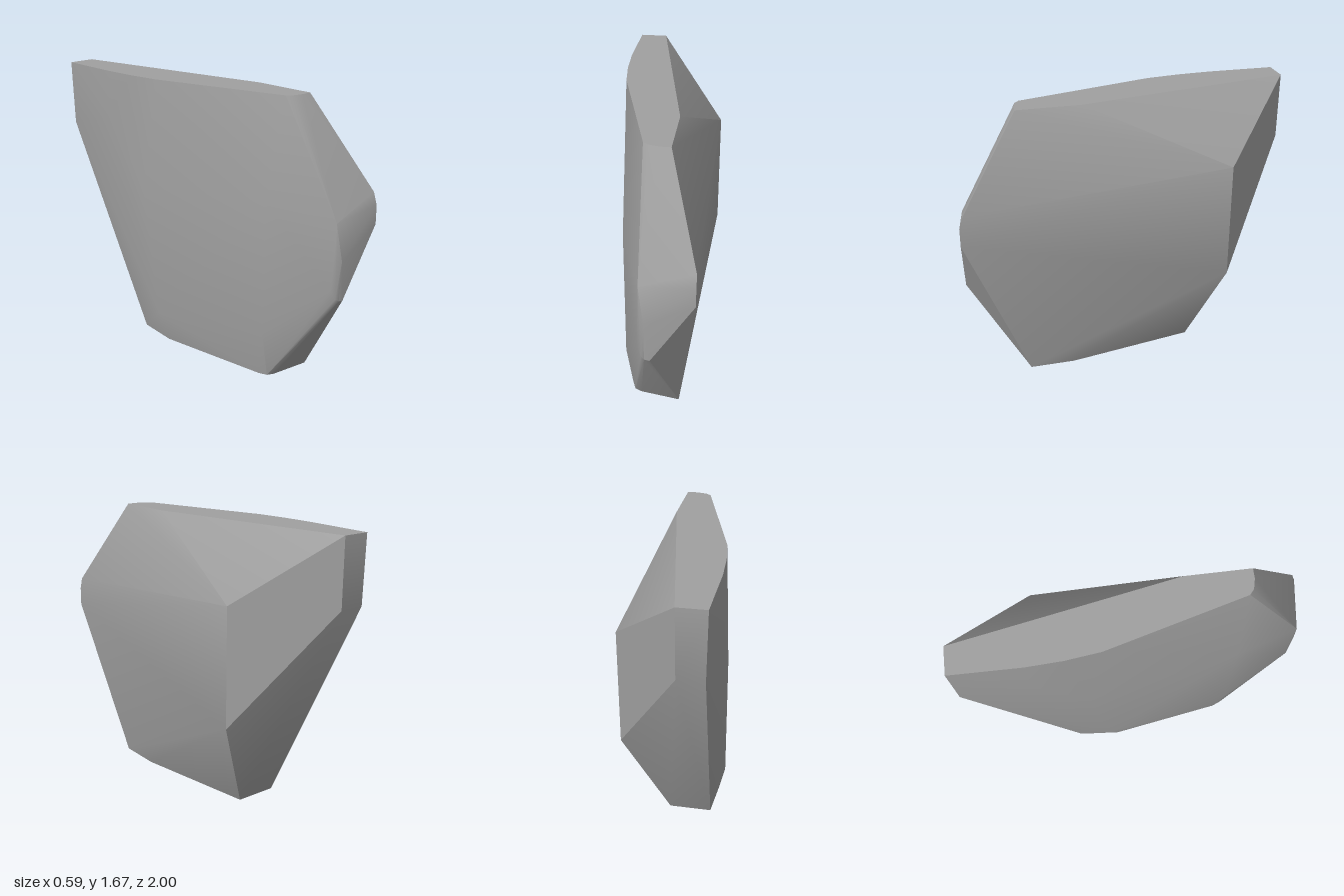
import * as THREE from 'three';
import { ConvexGeometry } from 'three/addons/geometries/ConvexGeometry.js';
import { toCreasedNormals } from 'three/addons/utils/BufferGeometryUtils.js';

const v = (x, y, z) => new THREE.Vector3(x, y, z);

export function createModel() {
  const stone = new THREE.MeshStandardMaterial({ color: 0xa0a0a0 });
  stone.name = 'stone grey';

  // Flat top and bottom outlines, as [x, z]
  const top = [[0.12, 0.64], [0.06, 0.64], [0, 0.625], [-0.03, 0.6], [-0.25, -0.2], [-0.275, -0.4],
    [-0.285, -0.6], [-0.28, -1], [-0.12, -1], [0.12, 0.27]];
  const bottom = [[0.17, 0.64], [0.17, 0.37], [0.04, -0.4], [-0.21, -0.4], [-0.23, -0.15],
    [-0.12, 0.53], [-0.1, 0.58], [-0.06, 0.6]];

  const corners = [
    ...top.map(([x, z]) => v(x, 1.67, z)),
    ...bottom.map(([x, z]) => v(x, 0, z)),
    // Broad right side
    v(0.29, 1.28, -0.57), v(0.29, 0.58, -0.57),
    v(0.29, 0.97, 1), v(0.29, 1.08, 0.998), v(0.29, 1.15, 0.975),
    // Narrow back end
    v(-0.12, 1.28, -1), v(-0.27, 1.28, -1),
    // Rounded front tip and ridge
    v(0.05, 0.58, 0.985), v(0.02, 0.585, 0.983), v(0, 0.6, 0.975), v(-0.02, 0.65, 0.955),
    v(0.02, 0.82, 0.99), v(-0.01, 1.04, 0.965),
    // Gently bowed left side
    v(-0.15, 0.3, 0.58), v(-0.15, 1.1, 0.58), v(-0.27, 0.18, -0.2),
    v(-0.285, 1, -0.3), v(-0.297, 1.4, -0.6)
  ];

  const rock = new THREE.Mesh(toCreasedNormals(new ConvexGeometry(corners), 0.5), stone);
  rock.name = 'rock';
  const group = new THREE.Group();
  group.name = 'boulder';
  group.add(rock);
  return group;
}
